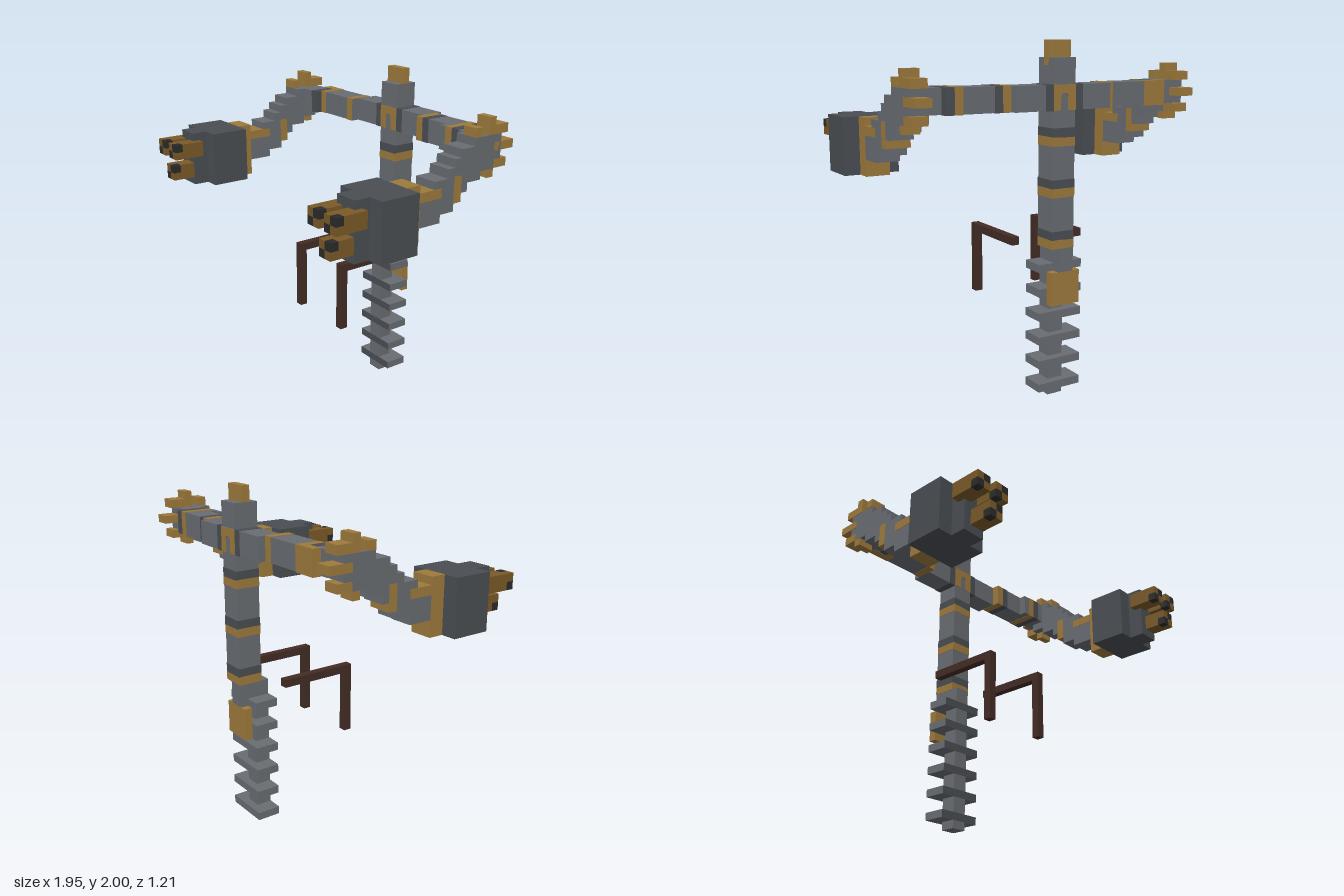
import * as THREE from 'three';

function mat(name, color) {
  const m = new THREE.MeshStandardMaterial({ color });
  m.name = name;
  return m;
}

export function createModel() {
  const model = new THREE.Group();
  const grey = mat('boneGrey', 0x696d72);
  const dark = mat('darkGrey', 0x4a4e53);
  const gold = mat('gold', 0x9e7a3c);
  const bronze = mat('darkGold', 0x7a5a28);
  const black = mat('black', 0x2b2b2c);
  const brown = mat('brown', 0x432c24);

  // Box from its limits on each axis
  function box(parent, name, m, [x0, x1], [y0, y1], [z0, z1], grow = 0) {
    const g = new THREE.BoxGeometry(x1 - x0 + grow, y1 - y0 + grow, z1 - z0 + grow);
    const mesh = new THREE.Mesh(g, m);
    mesh.position.set((x0 + x1) / 2, (y0 + y1) / 2, (z0 + z1) / 2);
    mesh.name = name;
    parent.add(mesh);
    return mesh;
  }
  function group(name) {
    const g = new THREE.Group();
    g.name = name;
    model.add(g);
    return g;
  }

  // Upper column with painted bands
  const column = group('column');
  const colX = [-0.05, 0.09], colZ = [-0.602, -0.463];
  box(column, 'columnShaft', grey, colX, [0.885, 1.91], colZ);
  box(column, 'columnFoot', grey, [-0.05, 0.045], [0.75, 0.885], colZ);
  box(column, 'topKnob', gold, colX, [1.87, 2.0], [-0.555, -0.508]);
  for (const y of [0.885, 1.168, 1.446]) {
    box(column, 'goldBand', gold, colX, [y, y + 0.047], colZ, 0.004);
    box(column, 'darkBand', dark, colX, [y + 0.047, y + 0.094], colZ, 0.004);
  }
  box(column, 'backPlate', gold, [-0.093, 0.09], [0.56, 0.75], [-0.602, -0.555]);

  // Lower spine with ribs, dark on their front faces
  const spine = group('spine');
  box(spine, 'spineShaft', grey, [-0.05, 0.045], [0, 0.885], [-0.508, -0.417]);
  for (let i = 0; i < 6; i++) {
    const y = 0.05 + i * 0.1395;
    box(spine, 'rib', [grey, grey, grey, grey, dark, grey],
      [-0.14, 0.137], [y, y + 0.046], [-0.555, -0.415]);
  }

  // Cross beam, stepping forward towards the shoulders
  const beam = group('crossBeam');
  const beamY = [1.635, 1.77];
  const midZ = [-0.56, -0.42], outZ = [-0.515, -0.376];
  box(beam, 'beamCentre', grey, [-0.28, 0.323], beamY, [-0.605, -0.466]);
  box(beam, 'beamMiddle', grey, [0.323, 0.695], beamY, midZ);
  box(beam, 'beamMiddle', grey, [-0.70, -0.28], beamY, midZ);
  box(beam, 'beamOuter', grey, [0.555, 0.76], beamY, outZ);
  box(beam, 'beamOuter', grey, [-0.76, -0.61], beamY, outZ);
  const bands = [
    [gold, -0.33, midZ], [gold, 0.323, midZ], [dark, 0.37, midZ],
    [dark, -0.095, [-0.605, -0.466]], [dark, 0.09, [-0.605, -0.466]],
    [dark, -0.655, outZ], [gold, 0.602, [-0.56, -0.376]], [dark, 0.65, [-0.56, -0.376]],
    [gold, -0.607, [-0.56, -0.42]],
  ];
  for (const [m, x, z] of bands) box(beam, 'beamBand', m, [x, x + 0.046], beamY, z, 0.004);
  box(beam, 'beamBackCap', gold, [-0.70, -0.56], beamY, [-0.56, -0.517], 0.006);

  // Arched gold plate on both sides of the crossing
  const arch = new THREE.Shape();
  arch.moveTo(-0.05, 1.635).lineTo(-0.002, 1.635).lineTo(-0.002, 1.71).lineTo(0.01, 1.725)
    .lineTo(0.033, 1.725).lineTo(0.045, 1.71).lineTo(0.045, 1.635).lineTo(0.09, 1.635)
    .lineTo(0.09, 1.77).lineTo(-0.05, 1.77);
  const archGeo = new THREE.ExtrudeGeometry(arch, { depth: 0.006, bevelEnabled: false });
  for (const z of [-0.465, -0.609]) {
    const plate = new THREE.Mesh(archGeo, gold);
    plate.name = 'archPlate';
    plate.position.z = z;
    beam.add(plate);
  }

  // Arm steps: z front, z back, y bottom, y top
  const steps = [
    [0.05, -0.045, 1.355, 1.54], [-0.045, -0.092, 1.355, 1.585],
    [-0.092, -0.138, 1.40, 1.585], [-0.138, -0.184, 1.40, 1.635],
    [-0.184, -0.23, 1.446, 1.68], [-0.23, -0.276, 1.492, 1.725],
    [-0.276, -0.322, 1.54, 1.725], [-0.322, -0.37, 1.54, 1.77],
    [-0.37, -0.463, 1.585, 1.77],
  ];
  // Shoulder spikes: z back, z front, y bottom, y top
  const spikes = [
    [-0.37, -0.322, 1.77, 1.82], [-0.463, -0.417, 1.77, 1.865],
    [-0.463, -0.417, 1.54, 1.585], [-0.555, -0.463, 1.77, 1.82],
    [-0.602, -0.463, 1.68, 1.727], [-0.555, -0.463, 1.587, 1.635],
  ];

  for (const side of [-1, 1]) {
    const c = side * 0.812;
    const armX = [c - 0.07, c + 0.07];
    const arm = group(side > 0 ? 'leftArm' : 'rightArm');
    for (const [zf, zb, y0, y1] of steps) box(arm, 'armStep', grey, armX, [y0, y1], [zb, zf]);
    box(arm, 'armTopTrim', gold, armX, [1.492, 1.54], [-0.045, 0.05], 0.004);
    box(arm, 'armSideTrim', gold, armX, [1.492, 1.54], [-0.092, -0.045], 0.004);
    box(arm, 'armBand', gold, armX, [1.446, 1.585], [-0.23, -0.184], 0.004);
    const spikeX = side > 0 ? [0.79, 0.882] : [-0.885, -0.79];
    for (const [z0, z1, y0, y1] of spikes) box(arm, 'shoulderSpike', gold, spikeX, [y0, y1], [z0, z1]);
    box(arm, 'shoulderBack', grey, armX, [1.635, 1.77], [-0.51, -0.463]);

    // Head: gold neck, wide block and narrower snout
    const head = group(side > 0 ? 'leftHead' : 'rightHead');
    const headY = [1.26, 1.585];
    box(head, 'neck', gold, armX, headY, [0.05, 0.14]);
    box(head, 'headBlock', dark, [c - 0.162, c + 0.162], headY, [0.138, 0.372]);
    box(head, 'snout', dark, armX, headY, [0.372, 0.465]);

    // Three prongs, each with two black cubes at opposite corners of the tip
    const start = side > 0 ? 0.695 : -0.93;
    for (const [dx, y] of [[0, 1.446], [0.137, 1.446], [side > 0 ? 0.093 : 0.094, 1.308]]) {
      const x = start + dx, h = 0.046;
      box(head, 'prong', bronze, [x, x + 2 * h], [y, y + 2 * h], [0.418, 0.558]);
      for (let i = 0; i < 2; i++) for (let j = 0; j < 2; j++) {
        box(head, 'prongTip', i === j ? black : bronze,
          [x + i * h, x + i * h + h], [y + j * h, y + j * h + h], [0.558, 0.605]);
      }
    }

    // Bent brown handle
    const handle = group(side > 0 ? 'leftHandle' : 'rightHandle');
    const hx = side > 0 ? [0.184, 0.23] : [-0.235, -0.189];
    box(handle, 'handleBar', brown, hx, [0.886, 0.932], [-0.417, 0.046]);
    box(handle, 'handleGrip', brown, hx, [0.516, 0.886], [0, 0.046]);
  }
  return model;
}
